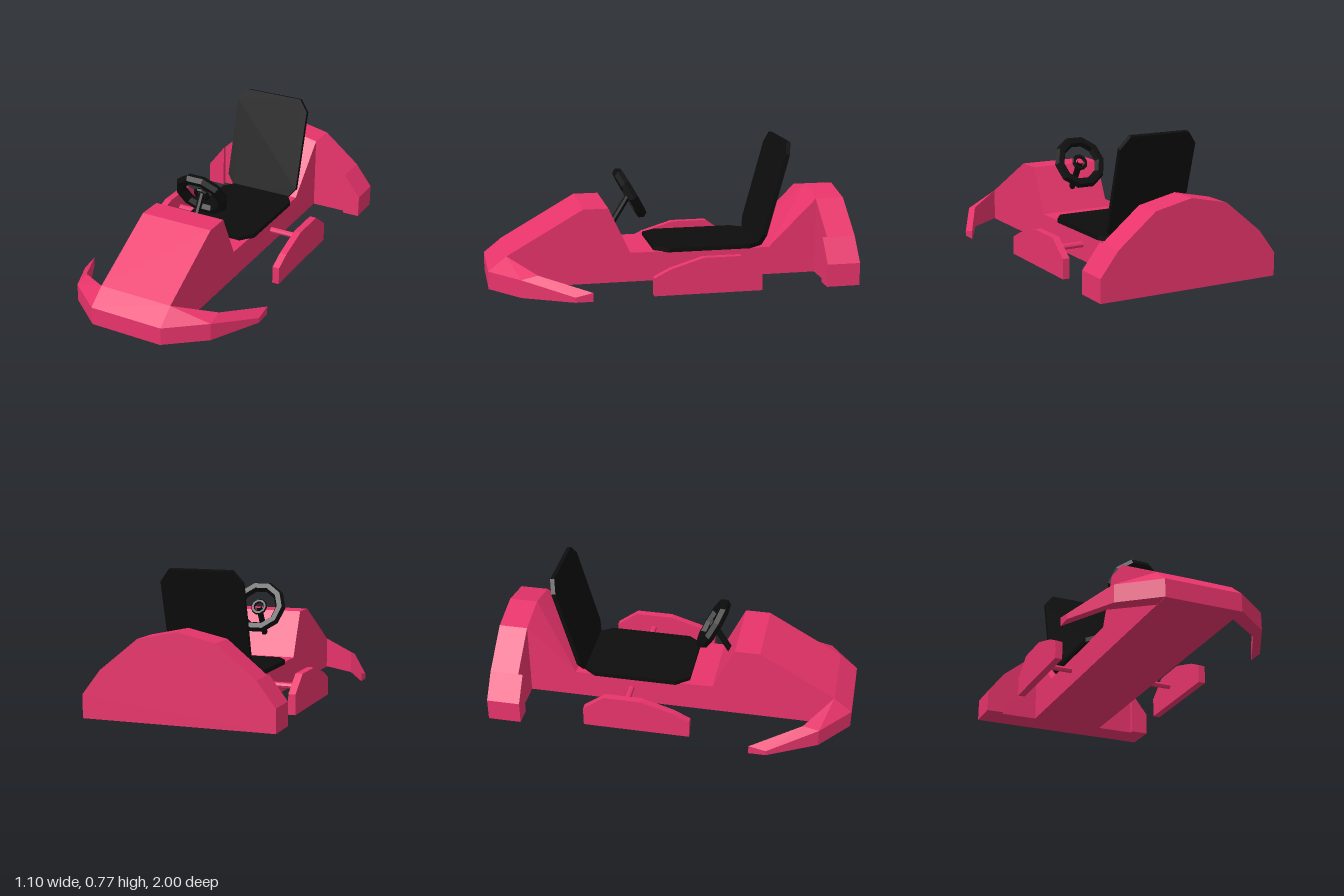
import * as THREE from 'three';
import { ConvexGeometry } from 'three/addons/geometries/ConvexGeometry.js';

const paint = new THREE.MeshStandardMaterial({ color: 0xe8346b, flatShading: true });
const black = new THREE.MeshStandardMaterial({ color: 0x0d0d0d, flatShading: true });

function add(parent, name, geometry, material = paint) {
  const mesh = new THREE.Mesh(geometry, material);
  mesh.name = name;
  parent.add(mesh);
  return mesh;
}

// Flat outline extruded symmetrically about its own plane
function slab(points, depth) {
  const shape = new THREE.Shape(points.map(([a, b]) => new THREE.Vector2(a, b)));
  return new THREE.ExtrudeGeometry(shape, { depth, bevelEnabled: false }).translate(0, 0, -depth / 2);
}

// Outline given as [z, y], extruded across x
const sideSlab = (points, width) => slab(points, width).rotateY(-Math.PI / 2);

// Solid spanned by corner points
const hull = (points) => new ConvexGeometry(points.map((p) => new THREE.Vector3(...p)));

// Rectangle from y0 to y1 with clipped corners
function clipped(w, y0, y1, cx, cy) {
  return [[-w + cx, y0], [w - cx, y0], [w, y0 + cy], [w, y1 - cy],
    [w - cx, y1], [-w + cx, y1], [-w, y1 - cy], [-w, y0 + cy]];
}

export function createModel() {
  const kart = new THREE.Group();
  kart.name = 'goKart';

  // Chassis with sloping nose cowl and flat cockpit floor
  add(kart, 'chassis', sideSlab([
    [-0.57, 0.02], [1, 0.02], [1, 0.12], [0.9, 0.2], [0.48, 0.44],
    [0.34, 0.44], [0.22, 0.185], [-0.57, 0.178],
  ], 0.42));

  // Ramp rising behind the seat to a shallow ridge
  const ramp = [[0, 0.178, -0.57], [0, 0.49, -0.84]];
  for (const x of [-0.21, 0.21]) {
    ramp.push([x, 0.02, -0.57], [x, 0.178, -0.57], [x, 0.02, -0.84], [x, 0.445, -0.84]);
  }
  add(kart, 'rearRamp', hull(ramp));

  // Arched rear bumper
  add(kart, 'rearBumper', slab([
    [-0.52, 0.02], [0.52, 0.02], [0.52, 0.145], [0.42, 0.275], [0.21, 0.445],
    [0, 0.49], [-0.21, 0.445], [-0.42, 0.275], [-0.52, 0.145],
  ], 0.16).translate(0, 0, -0.92));

  // Swept front bumper stations: x, outer z, inner z, outer top, inner top
  const stations = [
    [0.21, 1, 0.9, 0.12, 0.2],
    [0.41, 0.84, 0.75, 0.12, 0.14],
    [0.55, 0.57, 0.475, 0.05, 0.07],
  ];
  for (const side of [1, -1]) {
    const half = new THREE.Group();
    half.name = side > 0 ? 'leftSide' : 'rightSide';
    kart.add(half);

    const sections = stations.map(([x, zo, zi, yo, yi]) => [
      [side * x, 0.022, zo], [side * x, yo, zo], [side * x, yi, zi], [side * x, 0.022, zi],
    ]);
    add(half, 'frontBumperInner', hull([...sections[0], ...sections[1]]));
    add(half, 'frontBumperOuter', hull([...sections[1], ...sections[2]]));

    // Small forward block at each rear bumper end
    const block = [];
    for (const z of [-0.86, -0.815]) {
      block.push([side * 0.42, 0.02, z], [side * 0.52, 0.02, z],
        [side * 0.52, 0.145, z], [side * 0.42, 0.275, z]);
    }
    add(half, 'rearBumperEnd', hull(block));

    // Side guard and its support rod
    add(half, 'sideGuard', sideSlab([
      [-0.47, 0], [0.13, 0], [0.13, 0.1], [0.04, 0.145],
      [-0.14, 0.2], [-0.35, 0.2], [-0.47, 0.11],
    ], 0.04)).position.x = side * 0.427;
    const rod = add(half, 'supportRod', new THREE.CylinderGeometry(0.017, 0.017, 0.24, 8));
    rod.rotation.z = Math.PI / 2;
    rod.position.set(side * 0.31, 0.11, -0.245);
  }

  // Seat
  const seat = new THREE.Group();
  seat.name = 'seat';
  kart.add(seat);
  add(seat, 'seatCushion', slab(clipped(0.228, -0.53, 0.085, 0.055, 0.075), 0.025)
    .rotateX(Math.PI / 2), black).position.y = 0.193;
  const back = add(seat, 'seatBack', slab(clipped(0.228, 0, 0.605, 0.053, 0.068), 0.025), black);
  back.position.set(-0.003, 0.185, -0.525);
  back.rotation.x = -0.265;

  // Steering wheel, hub and column
  const steering = new THREE.Group();
  steering.name = 'steering';
  steering.position.set(-0.01, 0.475, 0.187);
  kart.add(steering);
  const wheel = add(steering, 'steeringWheel', new THREE.TorusGeometry(0.13, 0.03, 6, 10), black);
  const hub = add(steering, 'steeringHub', new THREE.TorusGeometry(0.037, 0.012, 6, 10), black);
  wheel.rotation.x = hub.rotation.x = 0.507;
  const path = new THREE.LineCurve3(new THREE.Vector3(0, 0.005, -0.005), new THREE.Vector3(0, -0.165, 0.1));
  add(steering, 'steeringColumn', new THREE.TubeGeometry(path, 1, 0.018, 8), black);

  return kart;
}
